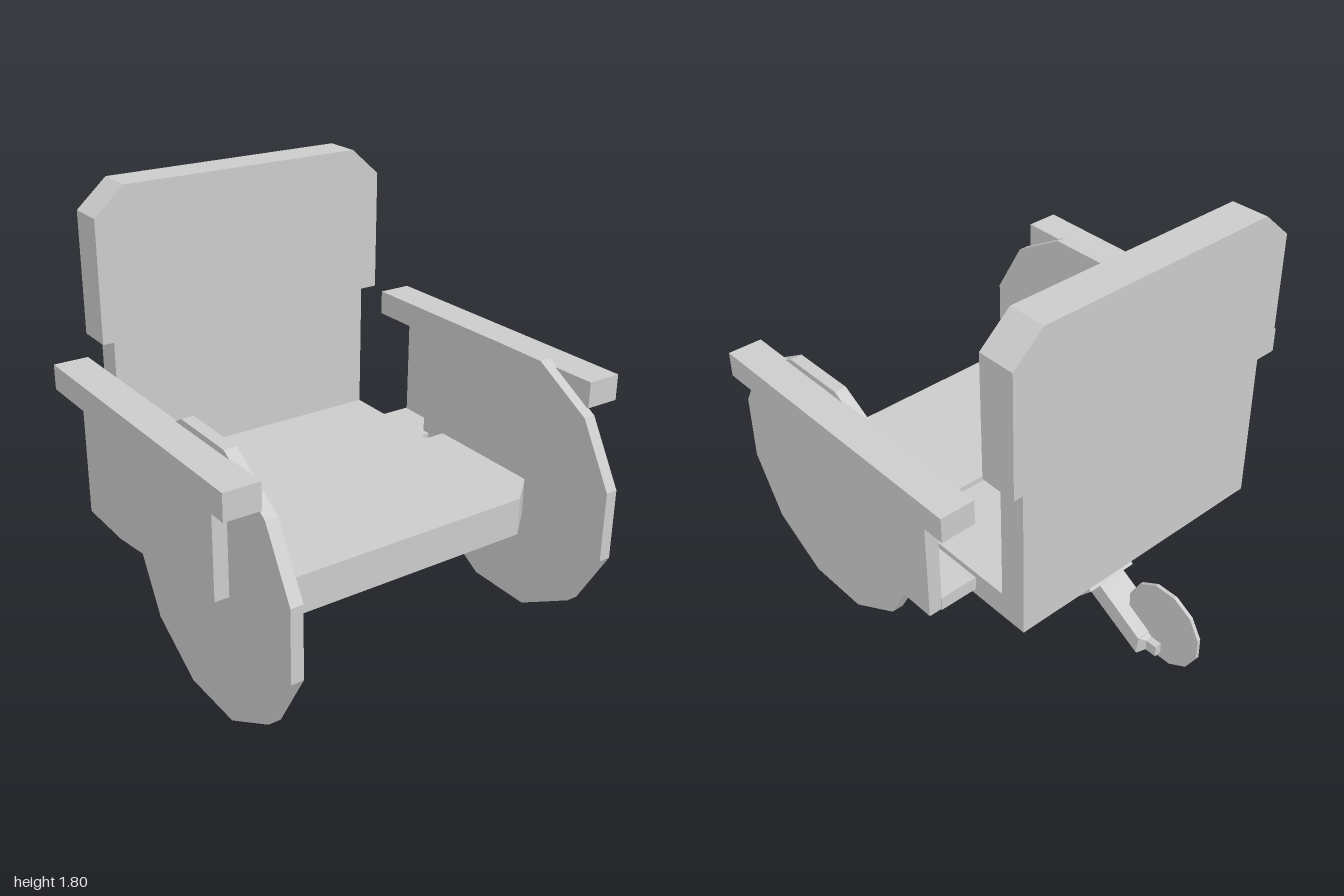
import * as THREE from 'three';

const material = new THREE.MeshStandardMaterial({ color: 0xcccccc, flatShading: true });

function part(name, geometry) {
  const mesh = new THREE.Mesh(geometry, material);
  mesh.name = name;
  return mesh;
}

// Box given by its limits on each axis
function box(name, x0, x1, y0, y1, z0, z1) {
  const g = new THREE.BoxGeometry(x1 - x0, y1 - y0, z1 - z0);
  return part(name, g.translate((x0 + x1) / 2, (y0 + y1) / 2, (z0 + z1) / 2));
}

function extrude(points, depth) {
  const shape = new THREE.Shape(points.map(([a, b]) => new THREE.Vector2(a, b)));
  return new THREE.ExtrudeGeometry(shape, { depth, bevelEnabled: false });
}

// Side profile of [z, y] points, extruded from x0 to x1
function sideProfile(name, points, x0, x1) {
  return part(name, extrude(points, x1 - x0).rotateY(-Math.PI / 2).translate(x1, 0, 0));
}

// Twelve-sided disc standing on a flat edge
function disc(name, radius, x0, x1, y, z) {
  const g = new THREE.CylinderGeometry(radius, radius, x1 - x0, 12);
  g.rotateY(Math.PI / 12).rotateZ(Math.PI / 2);
  return part(name, g.translate((x0 + x1) / 2, y, z));
}

// Cushion outline with two clipped corners at the far end
const cushion = (near, far) => [
  [-0.69, near], [0.69, near], [0.69, far - 0.12], [0.555, far], [-0.555, far], [-0.69, far - 0.12],
];

export function createModel() {
  const model = new THREE.Group();
  model.name = 'wheelchair';

  // L-shaped seat frame
  model.add(sideProfile('seatFrame', [
    [-0.66, 0.46], [0.1, 0.46], [0.1, 0.575], [-0.54, 0.575], [-0.54, 1.17], [-0.66, 1.17],
  ], -0.63, 0.63));

  // Cushions
  model.add(part('seatCushion',
    extrude(cushion(0.02, 0.68), 0.165).rotateX(Math.PI / 2).translate(0, 0.6, 0)));
  model.add(part('backCushion',
    extrude(cushion(1.15, 1.8), 0.165).translate(0, 0, -0.68)));

  // Wheel, armrest, side panel and bracket on each side
  for (const s of [1, -1]) {
    const side = new THREE.Group();
    side.name = s > 0 ? 'leftSide' : 'rightSide';
    const add = (make, name, a, x0, x1, ...rest) =>
      side.add(make(name, a, Math.min(s * x0, s * x1), Math.max(s * x0, s * x1), ...rest));
    add(disc, 'wheel', 0.588, 0.705, 0.757, 0.568, 0.432);
    add(sideProfile, 'armrest', [[0.82, 1.005], [0.82, 1.115], [-0.54, 1.103], [-0.54, 0.995]], 0.75, 0.9);
    add(sideProfile, 'sidePanel',
      [[0.66, 1.01], [0.66, 0.6], [-0.1, 0.49], [-0.38, 0.49], [-0.38, 1.01]], 0.795, 0.855);
    add(sideProfile, 'bracket',
      [[-0.1, 0.49], [-0.1, 0.55], [-0.385, 0.55], [-0.385, 0.49]], 0.6, 0.8);
    model.add(side);
  }

  // Rear support strut in two steps
  model.add(sideProfile('upperStrut',
    [[-0.13, 0.43], [-0.13, 0.47], [-0.33, 0.47], [-0.515, 0.235], [-0.45, 0.165]], -0.125, 0.125));
  model.add(sideProfile('lowerStrut',
    [[-0.455, 0.17], [-0.51, 0.237], [-0.745, 0.097], [-0.735, 0.01]], -0.07, 0.07));

  // Tapered end, hub block and rear caster
  const taper = new THREE.CylinderGeometry(0.04 * Math.SQRT2, 0.07 * Math.SQRT2, 0.025, 4);
  taper.rotateY(Math.PI / 4).rotateX(-Math.PI / 2).scale(1, 0.63, 1).translate(0, 0.054, -0.75);
  model.add(part('strutEnd', taper));
  model.add(box('casterHub', -0.04, 0.04, 0.028, 0.08, -0.815, -0.755));
  model.add(disc('casterWheel', 0.192, -0.008, 0.008, 0.187, -0.815));

  return model;
}
